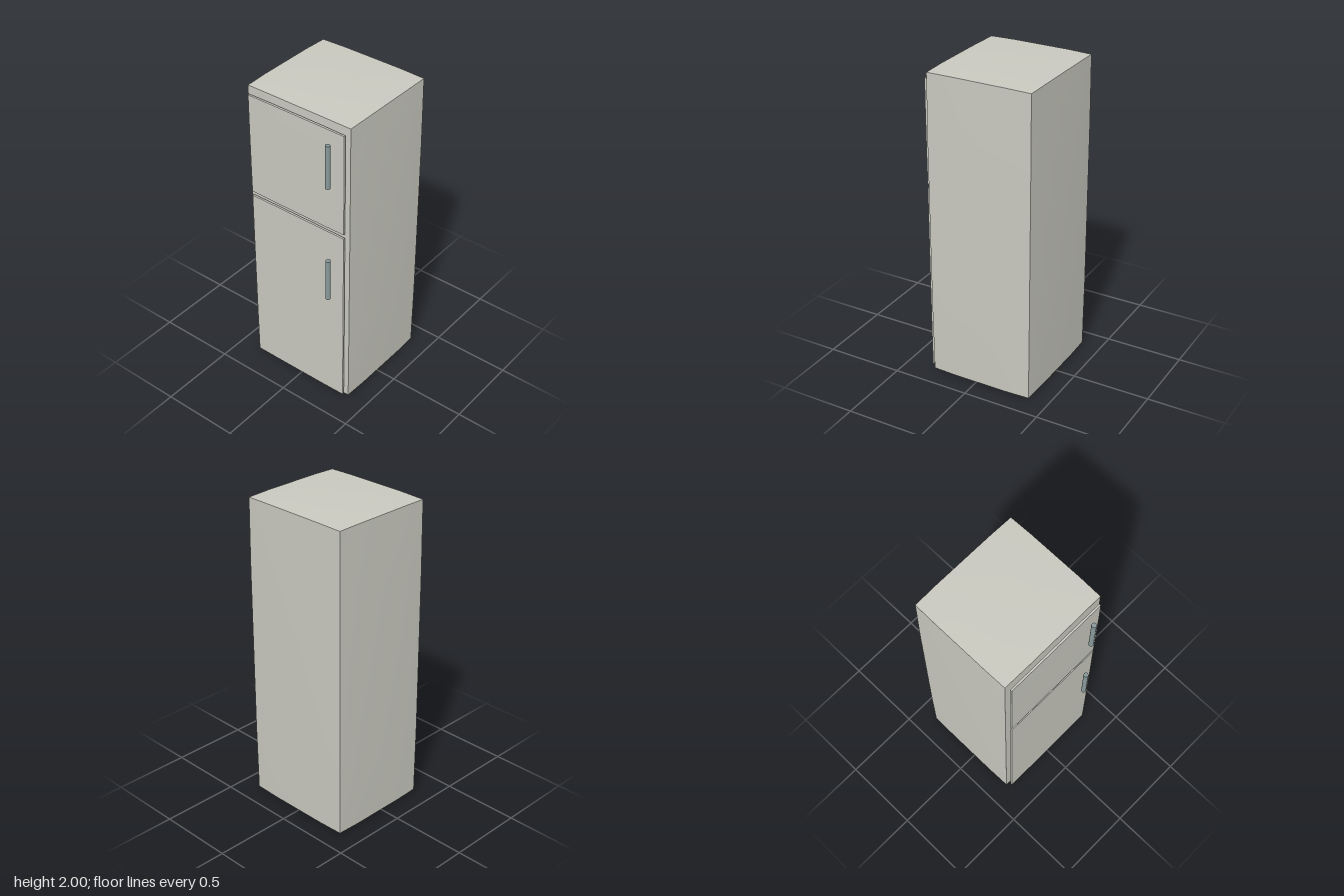
import * as THREE from 'three';

const casing = new THREE.MeshStandardMaterial({ color: 0xc8c8bf });
casing.name = 'casing';
const handleMetal = new THREE.MeshStandardMaterial({ color: 0x87989a });
handleMetal.name = 'handleMetal';

// Box with softly bulging faces and sharp edges; min and max are its corners.
function bulgedBox(name, min, max, bulge) {
  const lo = new THREE.Vector3(...min), hi = new THREE.Vector3(...max);
  const mid = lo.clone().add(hi).multiplyScalar(0.5);
  const half = hi.clone().sub(lo).multiplyScalar(0.5).toArray();
  const geo = new THREE.BoxGeometry(2, 2, 2, 4, 4, 4);
  const pos = geo.attributes.position;
  const spread = (t) => (Math.abs(t) === 0.5 ? t * 1.1 : t);
  const fall = (t) => Math.min(1, (1 - Math.abs(t)) / 0.45);
  for (let i = 0; i < pos.count; i++) {
    const t = [pos.getX(i), pos.getY(i), pos.getZ(i)].map(spread);
    const p = t.map((v, k) => {
      const fu = fall(t[(k + 1) % 3]), fv = fall(t[(k + 2) % 3]);
      return v * (half[k] + bulge[k] * (0.3 * Math.max(fu, fv) + 0.7 * fu * fv));
    });
    pos.setXYZ(i, ...p);
  }
  geo.computeVertexNormals();
  const mesh = new THREE.Mesh(geo, casing);
  mesh.name = name;
  mesh.position.copy(mid);
  return mesh;
}

// Upright bar handle.
function handle(name, bottom) {
  const height = 0.284;
  const mesh = new THREE.Mesh(new THREE.CylinderGeometry(0.015, 0.015, height, 24), handleMetal);
  mesh.name = name;
  mesh.position.set(0.258, bottom + height / 2, 0.366);
  return mesh;
}

export function createModel() {
  const group = new THREE.Group();
  group.name = 'refrigerator';
  group.add(
    bulgedBox('cabinet', [-0.366, 0.01, -0.372], [0.366, 1.99, 0.302], [0.01, 0.01, 0.009]),
    bulgedBox('freezerDoor', [-0.343, 1.282, 0.318], [0.343, 1.947, 0.33], [0.002, 0.004, 0.002]),
    bulgedBox('fridgeDoor', [-0.343, 0.024, 0.318], [0.343, 1.253, 0.33], [0.002, 0.004, 0.002]),
    handle('freezerHandle', 1.591),
    handle('fridgeHandle', 0.792),
  );
  return group;
}
